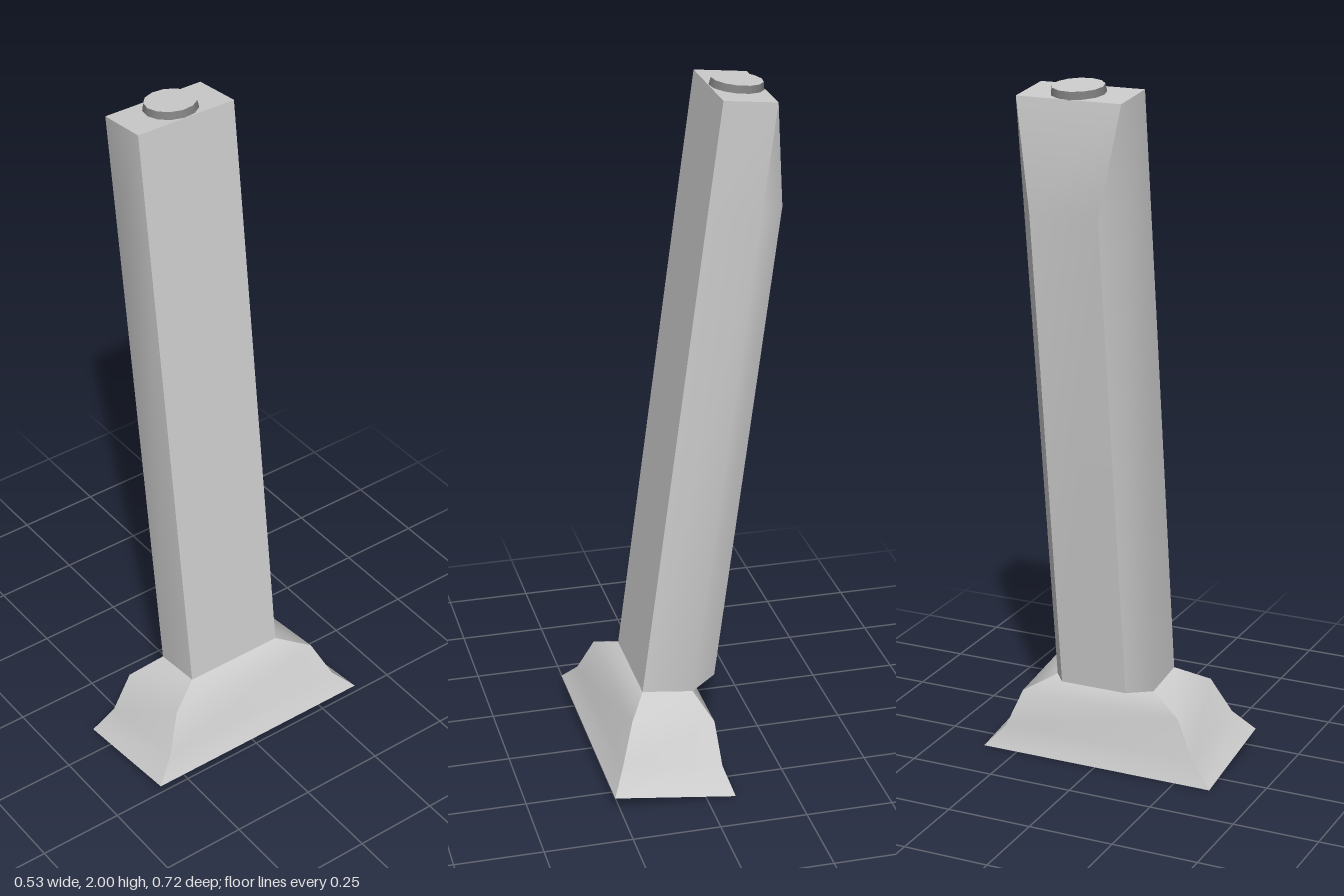
import * as THREE from 'three';
import { mergeGeometries } from 'three/addons/utils/BufferGeometryUtils.js';

// Smooth surface through rows of points (rows go up, columns go right, seen from outside)
function strip(rows) {
  const n = rows[0].length, index = [];
  for (let r = 0; r < rows.length - 1; r++) {
    for (let c = 0; c < n - 1; c++) {
      const a = r * n + c;
      index.push(a, a + 1, a + n + 1, a, a + n + 1, a + n);
    }
  }
  const g = new THREE.BufferGeometry();
  g.setAttribute('position', new THREE.Float32BufferAttribute(rows.flat(2), 3));
  g.setIndex(index);
  g.computeVertexNormals();
  return g;
}

const flipZ = ([x, y, z]) => [x, y, -z];
const mirrorRows = rows => rows.map(row => row.map(flipZ).reverse());

export function createModel() {
  const grey = new THREE.MeshStandardMaterial({ color: 0xcccccc });
  grey.name = 'light grey';
  const dark = new THREE.MeshStandardMaterial({ color: 0x808080 });
  dark.name = 'dark grey';

  const model = new THREE.Group();
  const add = (name, geometry, material) => {
    const mesh = new THREE.Mesh(geometry, material);
    mesh.name = name;
    model.add(mesh);
    return mesh;
  };

  // Leaning column: ridge edge, body edge and outer edge at three heights
  const side = [
    [[-0.088, 0.255, 0.1], [-0.01, 0.24, 0.152], [0.137, 0.258, 0.152]],
    [[-0.268, 1.66, 0.1], [-0.196, 1.655, 0.152], [-0.047, 1.67, 0.152]],
    [[-0.237, 1.965, 0.152], [-0.237, 1.965, 0.152], [-0.088, 1.98, 0.152]],
  ];
  const ridge = side.map(r => [flipZ(r[0]), r[0]]);
  const outer = side.map(r => [r[2], flipZ(r[2])]);
  const top = side[2].slice(1);
  add('column', mergeGeometries([
    strip(side),
    strip(mirrorRows(side)),
    strip(ridge),
    strip(outer),
    strip([top, top.map(flipZ)]),
    strip([side[0].map(flipZ), side[0]]),
  ]), grey);

  // Flared foot: each level has [left x, left y, right x, right y, half depth]
  const levels = [
    [-0.083, 0.003, 0.267, 0.05, 0.358],
    [-0.06, 0.07, 0.23, 0.11, 0.297],
    [-0.05, 0.187, 0.19, 0.218, 0.245],
    [-0.01, 0.24, 0.137, 0.258, 0.152],
  ];
  const front = levels.map(([x0, y0, x1, y1, z]) => [[x0, y0, z], [x1, y1, z]]);
  add('foot', mergeGeometries([
    strip(front),
    strip(mirrorRows(front)),
    strip(front.map(r => [flipZ(r[0]), r[0]])),
    strip(front.map(r => [r[1], flipZ(r[1])])),
    strip([front[0].map(flipZ), front[0]]),
  ]), grey);

  // Round button on the tilted top
  const button = add('button', new THREE.CylinderGeometry(0.071, 0.075, 0.022, 13), [dark, grey, dark]);
  button.position.set(-0.165, 1.982, -0.004);
  button.rotation.z = 0.1;

  return model;
}
